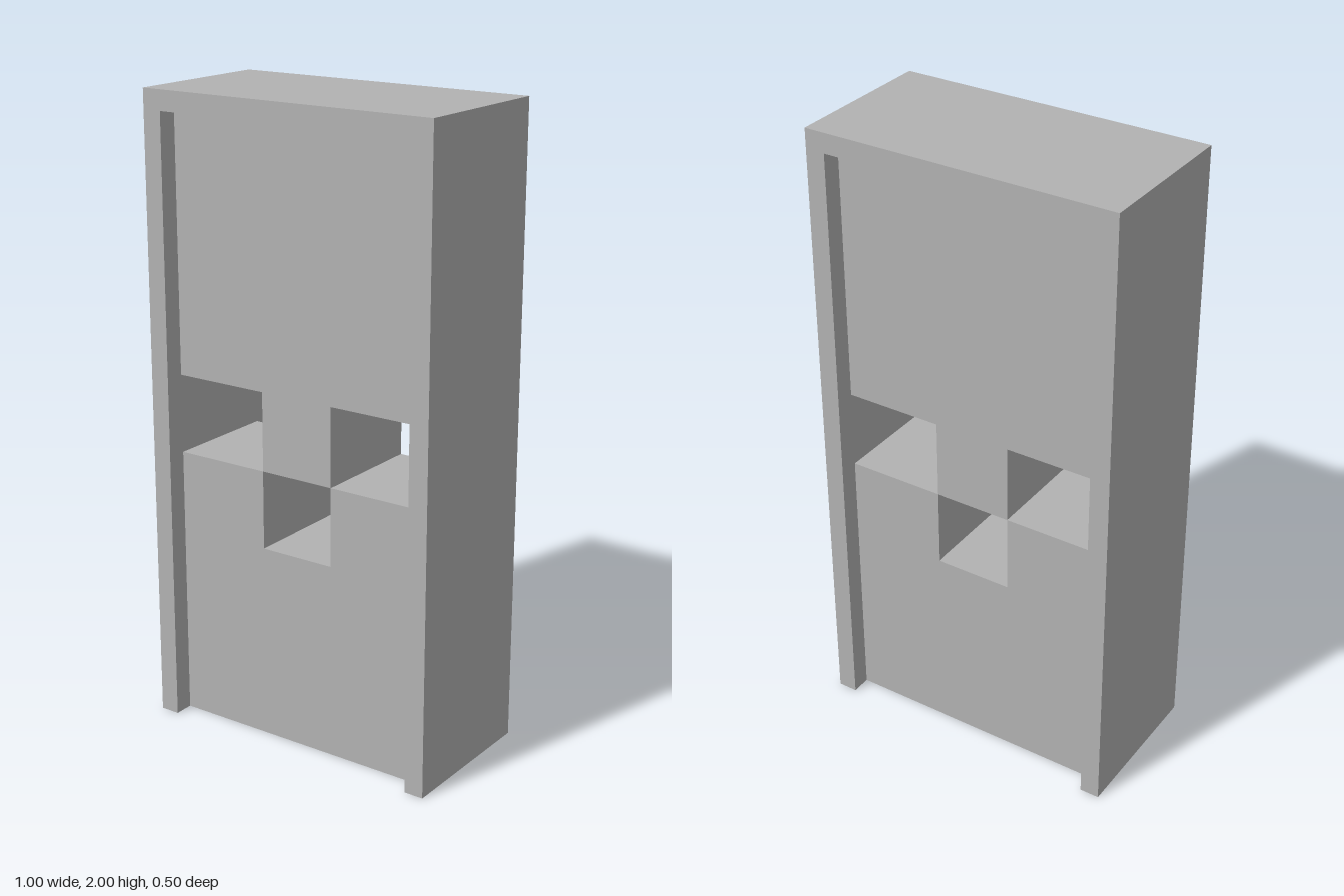
import * as THREE from 'three';

// Extrudes an outline of [x, y] corners, centred on z = 0
function slab(name, points, depth, material) {
  const shape = new THREE.Shape(points.map(([x, y]) => new THREE.Vector2(x, y)));
  const geometry = new THREE.ExtrudeGeometry(shape, { depth, bevelEnabled: false });
  geometry.translate(0, 0, -depth / 2);
  const mesh = new THREE.Mesh(geometry, material);
  mesh.name = name;
  return mesh;
}

// Completes a right-hand half outline with its mirror image
const mirrored = (half) => [...half, ...half.map(([x, y]) => [-x, y]).reverse()];

export function createModel() {
  const group = new THREE.Group();
  group.name = 'panelledDoor';
  const grey = new THREE.MeshStandardMaterial({ color: 0xb2b2b2 });
  grey.name = 'grey';

  const inner = 0.4375; // half width of the opening in the frame
  const notch = 0.125; // half width of the middle gap
  const panelDepth = 0.375;

  // Outer frame: two posts and a lintel, open at the bottom
  group.add(slab('frame', mirrored([[inner, 1.9375], [inner, 0], [0.5, 0], [0.5, 2]]), 0.5, grey));

  // Upper panel with a tab hanging between the two side openings
  group.add(slab('upperPanel', mirrored([[notch, 0.875], [notch, 1.125], [inner, 1.125], [inner, 1.9375]]), panelDepth, grey));

  // Lower panel with a square notch under the tab
  group.add(slab('lowerPanel', mirrored([[inner, 0], [inner, 0.875], [notch, 0.875], [notch, 0.625]]), panelDepth, grey));

  return group;
}
